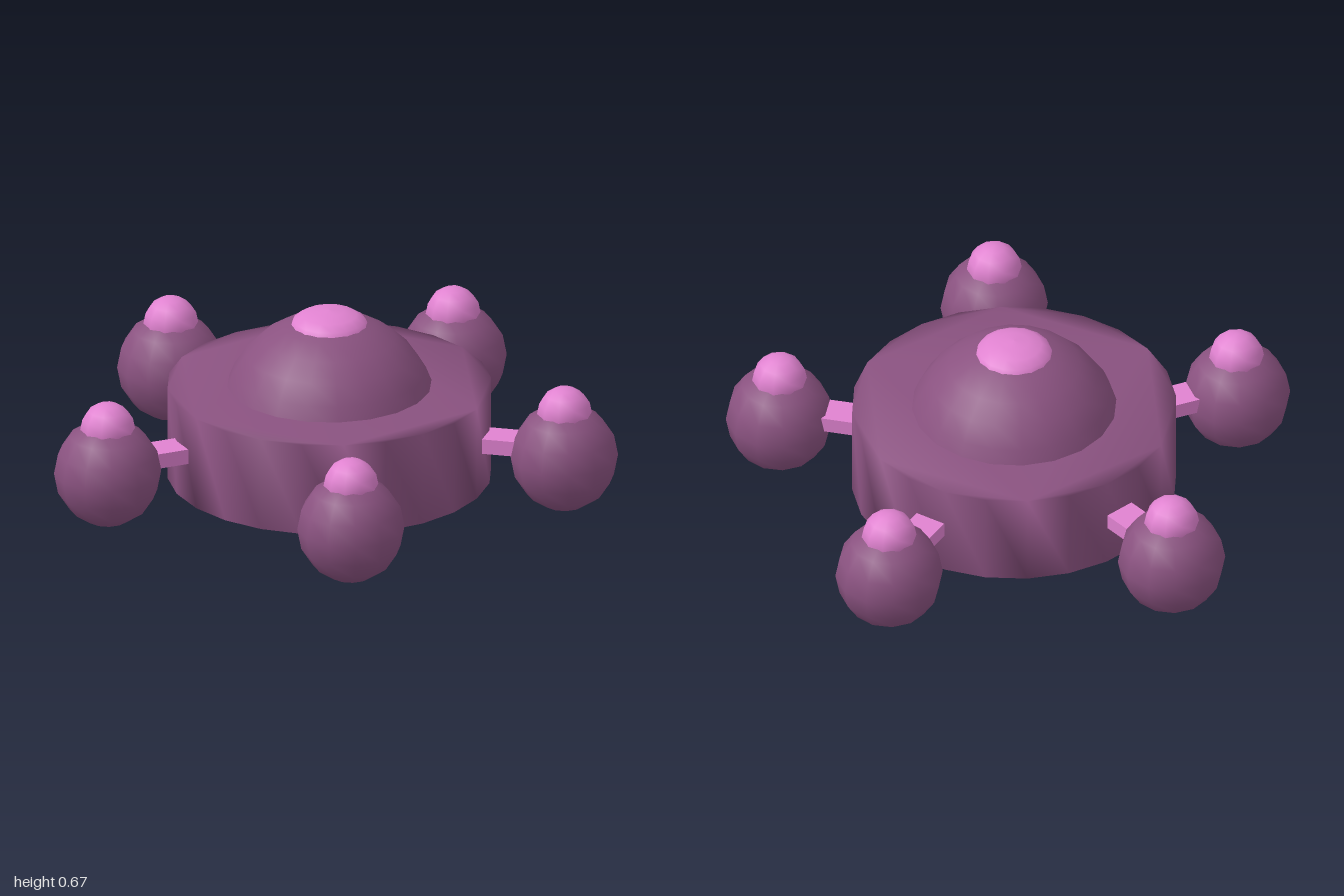
import * as THREE from 'three';
import { mergeVertices } from 'three/addons/utils/BufferGeometryUtils.js';

const plum = new THREE.MeshStandardMaterial({ name: 'plum', color: 0x8a5280 });
const pink = new THREE.MeshStandardMaterial({ name: 'pink', color: 0xe082d0 });

const HUB_Z = -0.085;   // hub axis
const POD_RADIUS = 0.19;
const POD_REACH = 0.85; // hub axis to pod centre

function part(name, geometry, material, x = 0, y = 0, z = 0) {
  const mesh = new THREE.Mesh(geometry, material);
  mesh.name = name;
  mesh.position.set(x, y, z);
  return mesh;
}

// 24-sided drum whose normals are shared between the caps and the wall
function drum(radius, height, sides) {
  const points = [];
  for (let i = 0; i < sides; i++) {
    const a = (i / sides) * Math.PI * 2;
    points.push(new THREE.Vector2(Math.cos(a) * radius, Math.sin(a) * radius));
  }
  let geometry = new THREE.ExtrudeGeometry(new THREE.Shape(points), { depth: height, bevelEnabled: false });
  geometry.rotateX(-Math.PI / 2);
  geometry.deleteAttribute('normal');
  geometry.deleteAttribute('uv');
  geometry = mergeVertices(geometry, 1e-4);
  geometry.computeVertexNormals();
  return geometry;
}

// Section of a sphere between two polar angles, bottom to top
function sphereSection(radius, from, to, steps, sides) {
  const points = [];
  for (let i = 0; i <= steps; i++) {
    const a = from + ((to - from) * i) / steps;
    points.push(new THREE.Vector2(Math.max(0, Math.sin(a) * radius), Math.cos(a) * radius));
  }
  return new THREE.LatheGeometry(points, sides);
}

export function createModel() {
  const model = new THREE.Group();
  model.name = 'podCraft';

  const hub = new THREE.Group();
  hub.name = 'hub';
  hub.position.z = HUB_Z;
  model.add(hub);

  // Body, dome and the cap on top of it
  hub.add(part('body', drum(0.573, 0.34, 24), plum, 0, 0.054));
  hub.add(part('dome', sphereSection(0.387, 1.3, 0, 6, 20), plum, 0, 0.262));
  const cap = part('domeCap', sphereSection(0.138, Math.PI / 2, 0, 4, 16), pink, 0, 0.615);
  cap.scale.y = 0.43;
  hub.add(cap);

  // Five pods on short arms, one of them straight ahead
  const podShape = new THREE.SphereGeometry(POD_RADIUS, 12, 8);
  const nubShape = new THREE.SphereGeometry(0.097, 10, 8);
  const armShape = new THREE.BoxGeometry(0.115, 0.055, 0.32);
  for (let i = 0; i < 5; i++) {
    const angle = (i * Math.PI * 2) / 5;
    const x = Math.sin(angle), z = Math.cos(angle);
    const arm = part('arm', armShape, pink, x * 0.63, 0.228, z * 0.63);
    arm.rotation.y = angle;
    const pod = part('pod', podShape, plum, x * POD_REACH, 0.195, z * POD_REACH);
    pod.scale.y = 0.195 / POD_RADIUS;
    const nub = part('podNub', nubShape, pink, x * POD_REACH, 0.36, z * POD_REACH);
    hub.add(arm, pod, nub);
  }
  return model;
}
